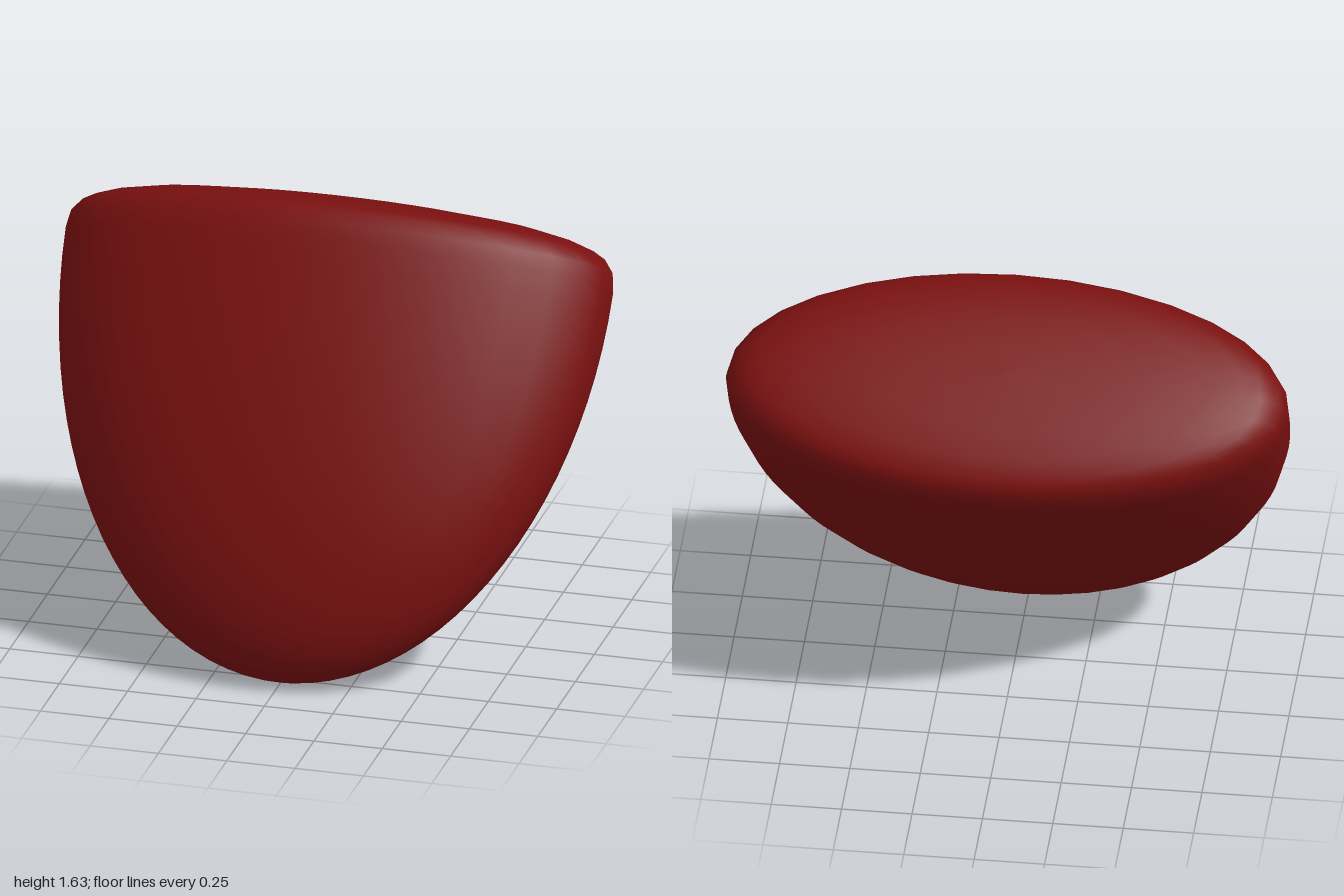
import * as THREE from 'three';

export function createModel() {
  const group = new THREE.Group();
  const depth = 0.44, length = 1.52, tilt = THREE.MathUtils.degToRad(33);

  // Half-ellipse bowl from the tip up to the widest ring
  const profile = [];
  const steps = 24;
  for (let i = 0; i <= steps; i++) {
    const a = (i / steps) * Math.PI / 2;
    profile.push(new THREE.Vector2(Math.sin(a), -length * Math.cos(a)));
  }

  // Rounded rim running into a slightly domed cap
  const rim = [
    [0.99, 0.06], [0.955, 0.105], [0.91, 0.13], [0.85, 0.15],
    [0.72, 0.175], [0.5, 0.195], [0.25, 0.205], [0, 0.208],
  ];
  for (const [r, y] of rim) profile.push(new THREE.Vector2(r, y));

  // Flatten the turned body front to back and lean it backwards
  const geometry = new THREE.LatheGeometry(profile, 32);
  geometry.scale(1, 1, depth);
  geometry.rotateX(-tilt);
  geometry.translate(0, 1.31, -0.25);

  const body = new THREE.Mesh(geometry, new THREE.MeshStandardMaterial({ color: 0x7a1010 }));
  body.name = 'domedBody';
  group.add(body);

  // Stand on the ground, centred front to back
  const box = new THREE.Box3().setFromObject(body, true);
  body.position.set(0, -box.min.y, -(box.min.z + box.max.z) / 2);
  return group;
}
